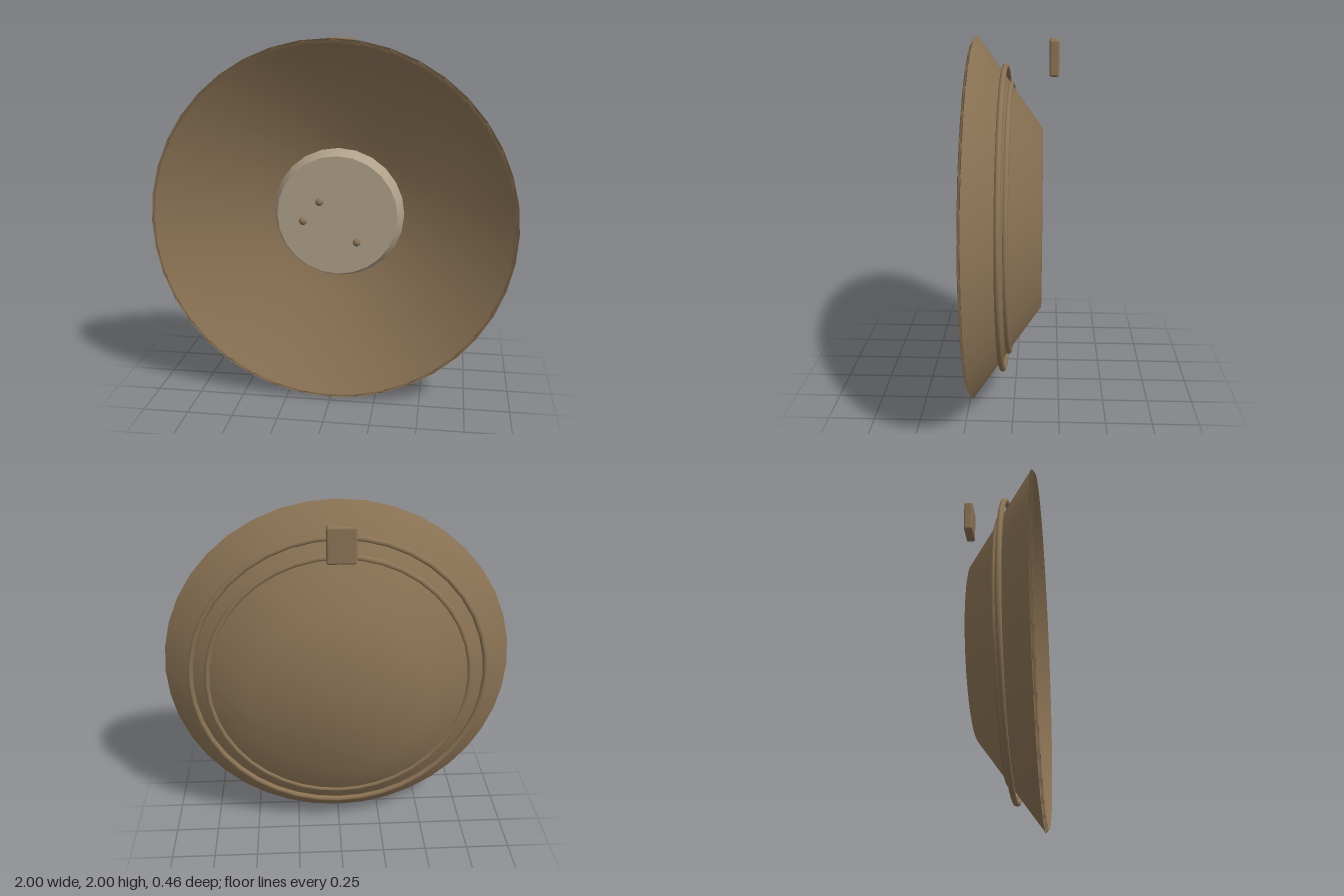
import * as THREE from 'three';
import { RoundedBoxGeometry } from 'three/addons/geometries/RoundedBoxGeometry.js';

export function createModel() {
  const group = new THREE.Group();
  const brown = new THREE.MeshStandardMaterial({ color: 0x8b7355 });
  brown.name = 'warm brown';
  const taupe = new THREE.MeshStandardMaterial({ color: 0xb0a08a });
  taupe.name = 'pale taupe';

  const add = (name, geometry, material, x, y, z) => {
    const mesh = new THREE.Mesh(geometry, material);
    mesh.name = name;
    mesh.position.set(x, y, z);
    group.add(mesh);
    return mesh;
  };

  // Shallow dish: profile (radius, depth) from back centre over the rim to the inner floor
  const profile = [
    [0, -0.147], [0.5, -0.147], [1, 0.213], [0.975, 0.23], [0.46, -0.12], [0, -0.12],
  ].map(([r, z]) => new THREE.Vector2(r, z));
  const dish = new THREE.LatheGeometry(profile, 40);
  dish.rotateX(Math.PI / 2);
  add('dish', dish, brown, 0, 1, 0);

  // Thin raised rings around the back
  for (const [name, radius, z] of [['outerRing', 0.84, 0.058], ['innerRing', 0.744, 0.027]]) {
    add(name, new THREE.TorusGeometry(radius, 0.016, 8, 40), brown, 0, 1, z);
  }

  // Tapered centre pad
  const pad = new THREE.CylinderGeometry(0.345, 0.38, 0.085, 24);
  pad.rotateX(Math.PI / 2);
  add('centrePad', pad, taupe, 0, 1, -0.083);

  // Small studs on the pad
  for (const [x, y] of [[-0.1, 1.08], [-0.195, 0.965], [0.115, 0.85]]) {
    add('stud', new THREE.SphereGeometry(0.023, 12, 8), brown, x, y, -0.035);
  }

  // Hanging tab behind the top edge
  add('hangingTab', new RoundedBoxGeometry(0.152, 0.192, 0.052, 2, 0.012), brown, 0, 1.889, -0.204);

  return group;
}
